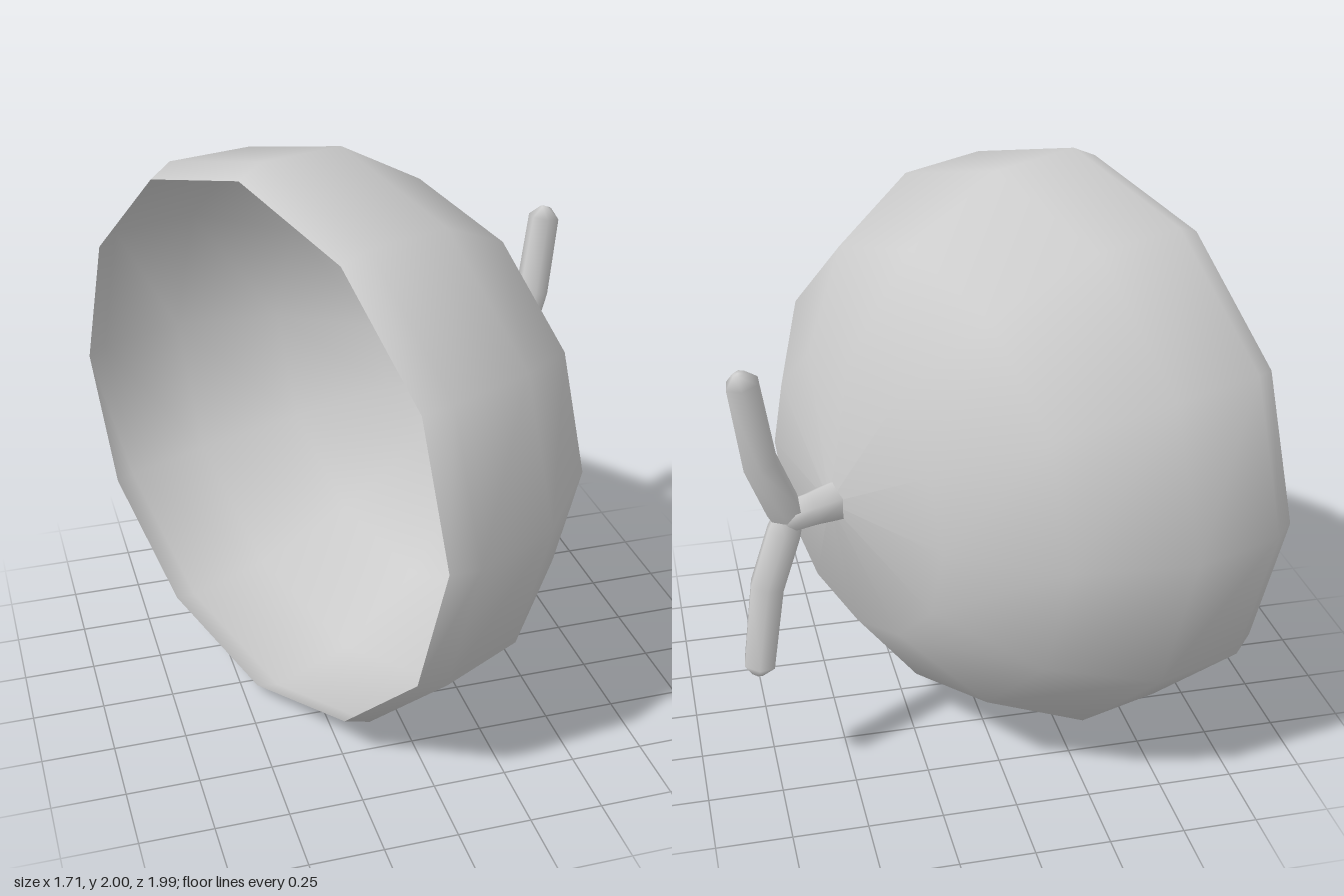
import * as THREE from 'three';

// Lofts a six-sided limb along [x, y, radius] stations in the local XY plane.
function limb(stations, sides = 6) {
  const pos = [], idx = [];
  const b = new THREE.Vector3(0, 0, 1);
  stations.forEach(([x, y, r], i) => {
    const p = stations[Math.max(i - 1, 0)];
    const q = stations[Math.min(i + 1, stations.length - 1)];
    const t = new THREE.Vector3(q[0] - p[0], q[1] - p[1], 0).normalize();
    const n = new THREE.Vector3(-t.y, t.x, 0);
    for (let j = 0; j < sides; j++) {
      const a = (j / sides) * Math.PI * 2;
      const v = new THREE.Vector3(x, y, 0)
        .addScaledVector(n, r * Math.cos(a))
        .addScaledVector(b, r * Math.sin(a));
      pos.push(v.x, v.y, v.z);
      if (i < stations.length - 1) {
        const k = i * sides + j, l = i * sides + (j + 1) % sides;
        idx.push(k, l, k + sides, l, l + sides, k + sides);
      }
    }
  });
  const geo = new THREE.BufferGeometry();
  geo.setAttribute('position', new THREE.Float32BufferAttribute(pos, 3));
  geo.setIndex(idx);
  geo.computeVertexNormals();
  return geo;
}

export function createModel() {
  const model = new THREE.Group();
  model.name = 'forkHandledBowl';
  const grey = new THREE.MeshStandardMaterial({ color: 0xcccccc, side: THREE.DoubleSide });
  grey.name = 'light grey';

  // Local +x runs from the open rim to the closed end
  const body = new THREE.Group();
  body.name = 'tiltedBody';
  body.position.set(-0.455, 1, 0.09);
  body.rotation.y = 0.4225;
  model.add(body);

  const add = (name, geo) => {
    const mesh = new THREE.Mesh(geo, grey);
    mesh.name = name;
    body.add(mesh);
  };

  // Thin-walled twelve-sided bowl, slightly narrowed at the rim
  const profile = [[0.987, 0], [1.03, 0.093], [1.01, 0.414], [0.815, 0.755], [0.492, 0.992], [0, 1.085]]
    .map(([r, h]) => new THREE.Vector2(r, h));
  const bowl = new THREE.LatheGeometry(profile, 12);
  bowl.rotateZ(-Math.PI / 2);
  bowl.scale(1, 0.97, 1);
  add('bowl', bowl);

  // Forked handle: a short stem and two mirrored prongs
  add('handleStem', limb([[1.04, 0, 0.075], [1.16, 0, 0.06], [1.27, 0, 0.055], [1.29, 0, 0]]));
  for (const [name, s] of [['upperProng', 1], ['lowerProng', -1]]) {
    add(name, limb([
      [1.23, -0.02 * s, 0.05], [1.26, 0.05 * s, 0.06], [1.33, 0.22 * s, 0.06],
      [1.375, 0.5 * s, 0.056], [1.385, 0.535 * s, 0.02], [1.386, 0.537 * s, 0],
    ]));
  }
  return model;
}
